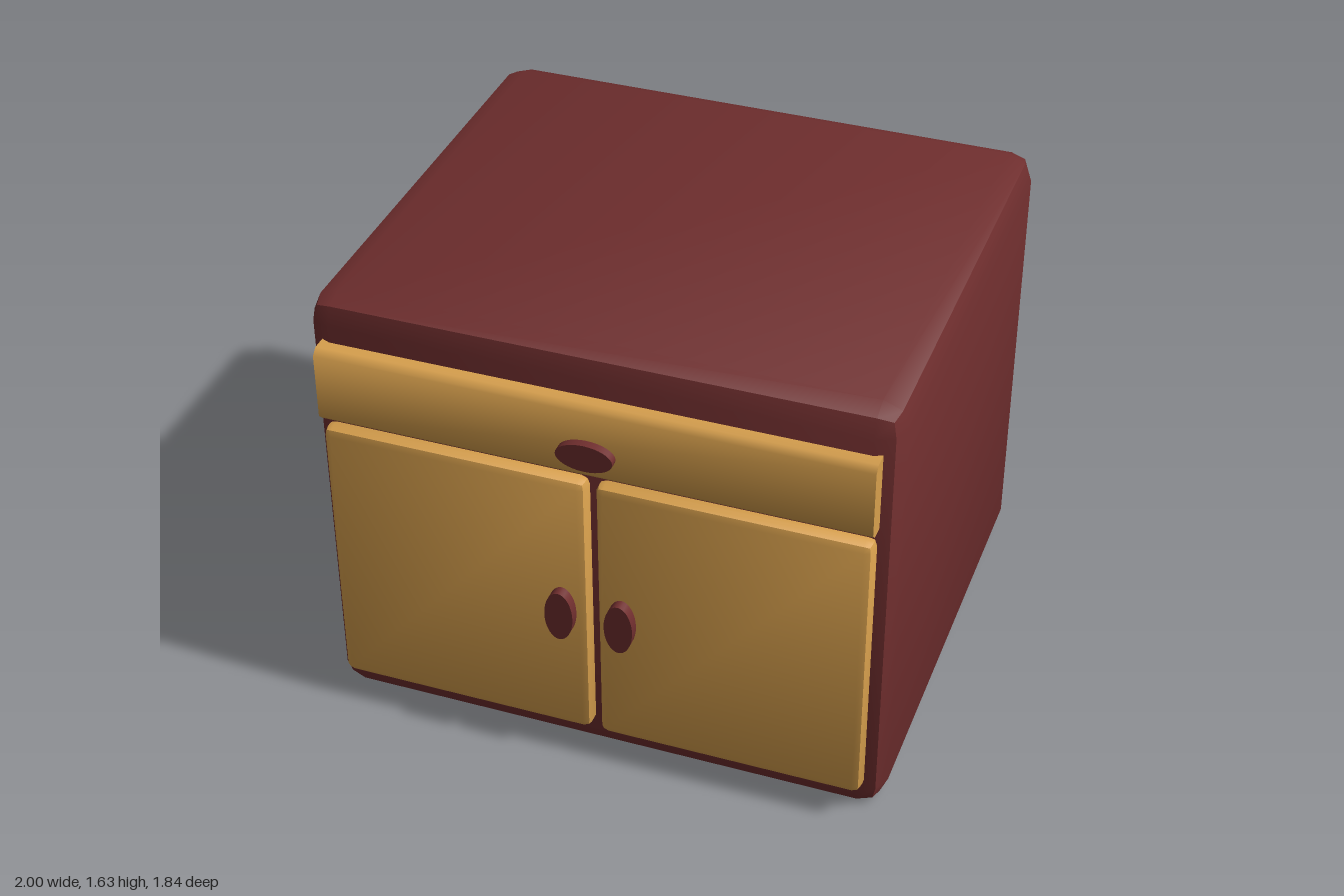
import * as THREE from 'three';
import { toCreasedNormals } from 'three/addons/utils/BufferGeometryUtils.js';
import { RoundedBoxGeometry } from 'three/addons/geometries/RoundedBoxGeometry.js';

export function createModel() {
  const model = new THREE.Group();
  model.name = 'cabinet';
  const darkWood = new THREE.MeshStandardMaterial({ color: 0x6f2e2e });
  darkWood.name = 'dark red wood';
  const lightWood = new THREE.MeshStandardMaterial({ color: 0xd8a04d });
  lightWood.name = 'light golden wood';

  const add = (name, geometry, material, x, y, z) => {
    const mesh = new THREE.Mesh(geometry, material);
    mesh.name = name;
    mesh.position.set(x, y, z);
    model.add(mesh);
    return mesh;
  };
  // Box with every edge rounded in two facets, creased along the middle
  const bevelBox = (w, h, d, r) => toCreasedNormals(new RoundedBoxGeometry(w, h, d, 1, r), 0.6);

  // Elliptical pull, its axis along z
  const addKnob = (name, x, y, rx, ry) => {
    const geometry = new THREE.CylinderGeometry(1, 1, 0.06, 32);
    geometry.rotateX(Math.PI / 2);
    geometry.scale(rx, ry, 1);
    add(name, geometry, darkWood, x, y, 0.89);
  };

  // Cabinet body
  add('body', bevelBox(2, 1.63, 1.75, 0.09), darkWood, 0, 0.815, -0.045);

  // Doors with upright pulls
  for (const [side, s] of [['left', 1], ['right', -1]]) {
    add(side + 'Door', bevelBox(0.925, 1.05, 0.08, 0.03), lightWood, s * 0.4775, 0.645, 0.843);
    addKnob(side + 'DoorKnob', s * 0.105, 0.63, 0.05, 0.097);
  }

  // Drawer front: chamfered profile run along x, softly shaded over the chamfers
  const h = 0.14, c = 0.022, front = 0.89, back = 0.8;
  const profile = new THREE.Shape([
    [-back, -h], [-back, h], [-front + c, h], [-front, h - c], [-front, -h + c], [-front + c, -h],
  ].map(([x, y]) => new THREE.Vector2(x, y)));
  const width = 1.88;
  const drawer = new THREE.ExtrudeGeometry(profile, { depth: width, bevelEnabled: false });
  drawer.translate(0, 0, -width / 2);
  drawer.rotateY(Math.PI / 2);
  add('drawer', toCreasedNormals(drawer, 0.9), lightWood, 0, 1.342, 0);
  addKnob('drawerKnob', 0, 1.305, 0.097, 0.05);

  return model;
}
